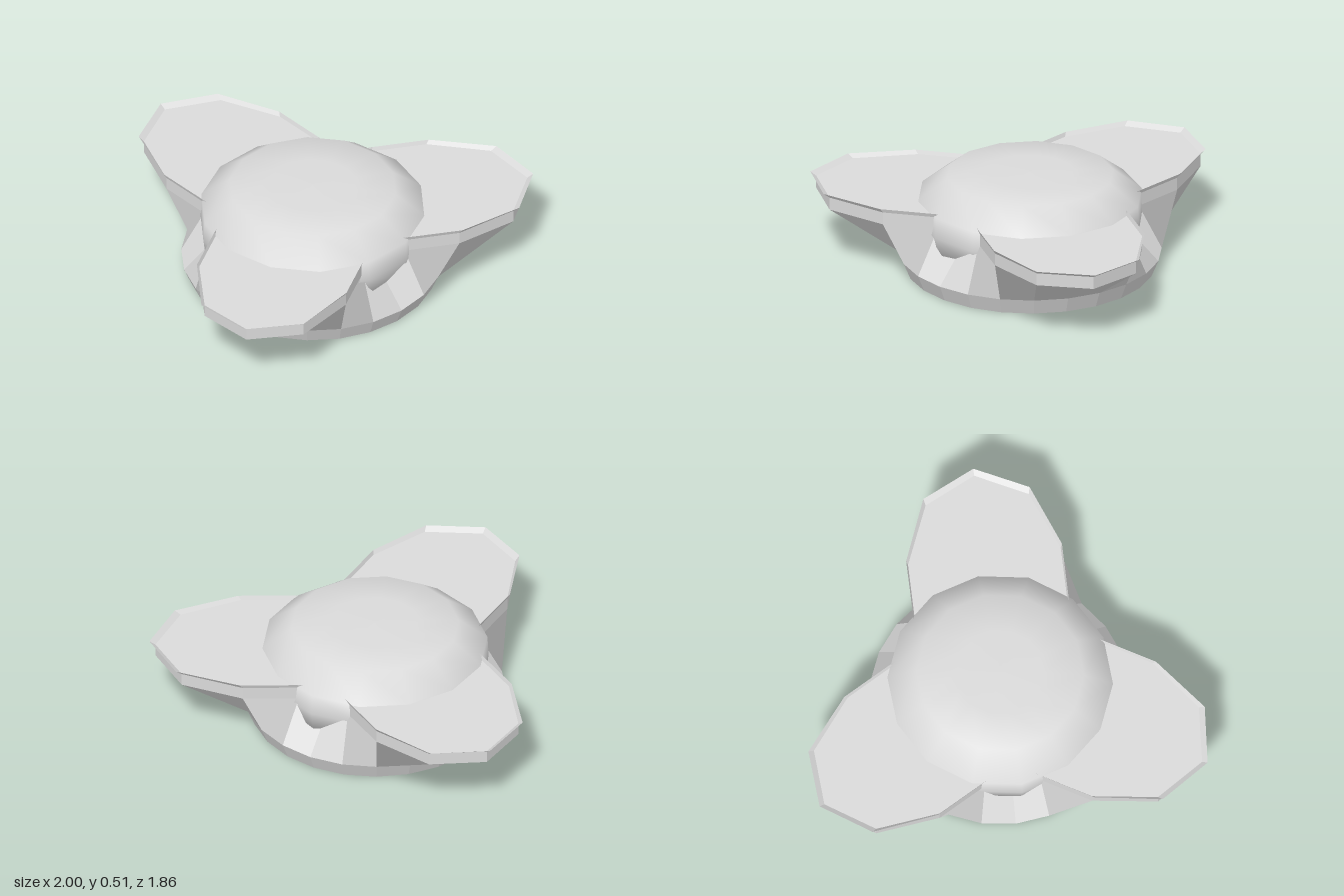
import * as THREE from 'three';

const SIDES = 24;      // 15 degrees per side, three lobes of 8 sides
const CENTRE_Z = 0.2;

// radius by distance from a lobe's axis: tip, shoulder, flank, root, notch
const deckRadii = [1.10, 1.005, 0.77, 0.545, 0.44];
const lipRadii = [1.13, 1.035, 0.786, 0.555, 0.44];

const circle = (r, y) => ({ y, r: () => r });
const lobes = (radii, y) => ({ y, r: (k) => radii[Math.abs((k % 8) - 4)] });

function ringPoint(ring, k) {
  const a = (k / SIDES) * Math.PI * 2;
  const r = ring.r(k);
  return new THREE.Vector3(r * Math.sin(a), ring.y, r * Math.cos(a));
}

// Skin between successive rings, one flat normal per four-sided panel;
// it faces outward when the rings run upwards
function loft(rings) {
  const pos = [], nor = [];
  for (let i = 0; i < rings.length - 1; i++) {
    const [lo, hi] = [rings[i], rings[i + 1]];
    for (let k = 0; k < SIDES; k++) {
      const a = ringPoint(lo, k), b = ringPoint(lo, k + 1);
      const c = ringPoint(hi, k + 1), d = ringPoint(hi, k);
      const n = c.clone().sub(a).cross(d.clone().sub(b)).normalize();
      const corners = [];
      if (lo.r(k) > 0) corners.push(a, b, c);
      if (hi.r(k) > 0) corners.push(a, c, d);
      for (const p of corners) {
        pos.push(p.x, p.y, p.z);
        nor.push(n.x, n.y, n.z);
      }
    }
  }
  const geo = new THREE.BufferGeometry();
  geo.setAttribute('position', new THREE.Float32BufferAttribute(pos, 3));
  geo.setAttribute('normal', new THREE.Float32BufferAttribute(nor, 3));
  return geo;
}

export function createModel() {
  const model = new THREE.Group();
  model.name = 'threeLobedStation';
  // double sided for the open lip
  const grey = new THREE.MeshStandardMaterial({ color: 0xdadada, side: THREE.DoubleSide });
  grey.name = 'lightGrey';

  const add = (name, geo) => {
    const mesh = new THREE.Mesh(geo, grey);
    mesh.name = name;
    mesh.position.z = CENTRE_Z;
    model.add(mesh);
  };

  const foot = circle(0.66, 0.085);
  const hullTop = lobes(deckRadii, 0.315);
  const deck = lobes(deckRadii, 0.38);
  const lip = lobes(lipRadii, 0.4);

  // Round foot with its underside
  add('base', loft([circle(0, 0), circle(0.625, 0), foot]));
  // Round foot flaring out into three lobes
  add('hull', loft([foot, hullTop]));
  // Upright band around the lobes
  add('rim', loft([hullTop, deck]));
  // Thin lip flaring outward above the band
  add('lip', loft([deck, lip]));
  // Flat floor of the lobes
  add('deck', loft([deck, circle(0, 0.38)]));

  // Smooth flattened dome, showing through the notches between the lobes
  const profile = [[0, 0.11], [0.44, 0.13], [0.56, 0.185], [0.572, 0.28], [0.565, 0.385],
    [0.42, 0.497], [0.22, 0.508], [0, 0.512]].map(([x, y]) => new THREE.Vector2(x, y));
  add('dome', new THREE.LatheGeometry(profile, 14, Math.PI / 2));

  return model;
}
